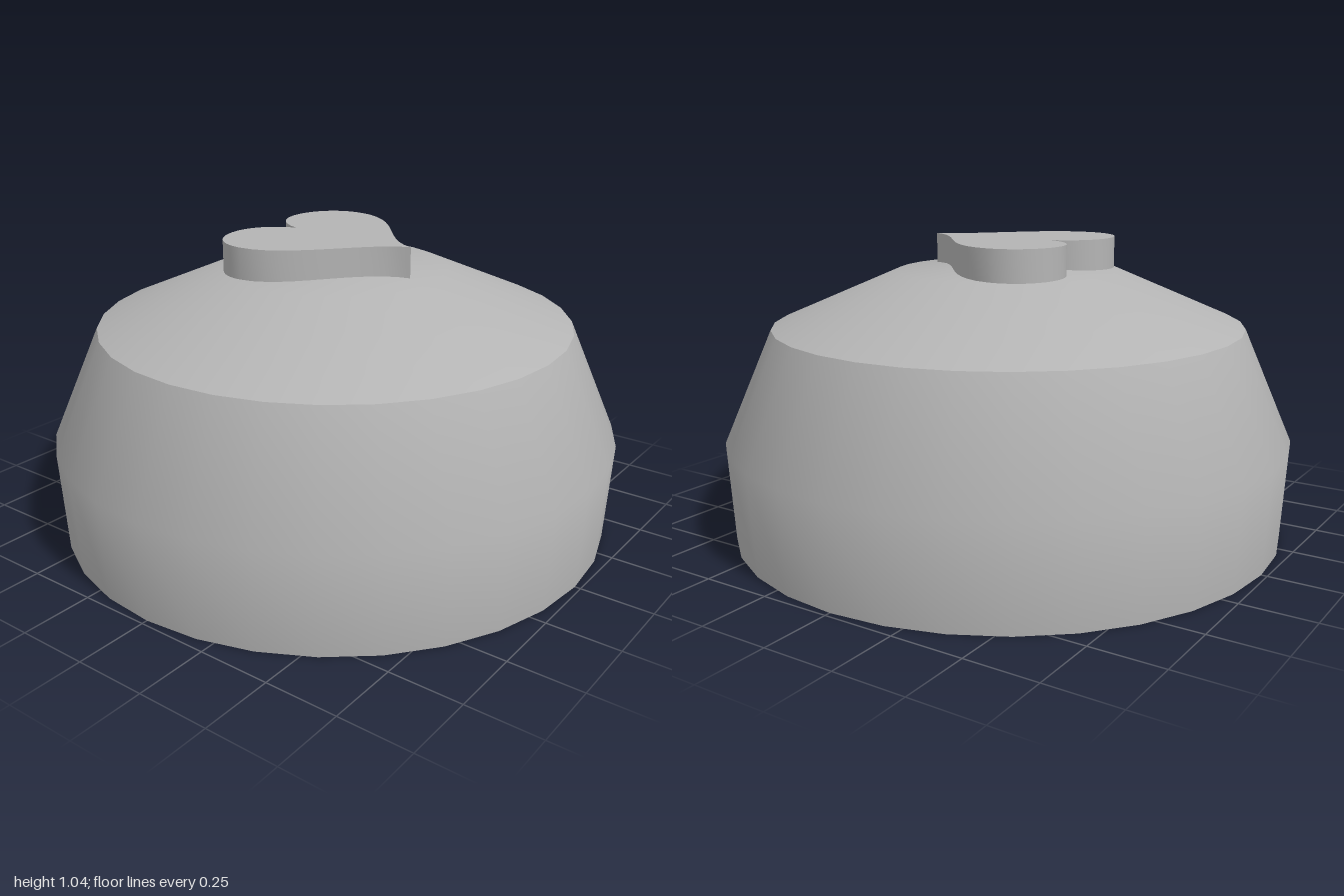
import * as THREE from 'three';
import { toCreasedNormals } from 'three/addons/utils/BufferGeometryUtils.js';

const SIDES = 32;

export function createModel() {
  const group = new THREE.Group();
  const grey = new THREE.MeshStandardMaterial({ color: 0xb4b4b4 });
  grey.name = 'grey';

  const add = (name, geometry) => {
    const mesh = new THREE.Mesh(geometry, grey);
    mesh.name = name;
    group.add(mesh);
    return mesh;
  };
  const lathe = (points) =>
    new THREE.LatheGeometry(points.map(([r, y]) => new THREE.Vector2(r, y)), SIDES);

  // Body: separate lathes keep the rim and base edges sharp
  add('base', lathe([[0, 0], [0.98, 0]]));
  add('wall', lathe([[0.98, 0], [1, 0.35], [0.83, 0.74]]));
  add('domedTop', lathe([[0.83, 0.74], [0.39, 0.93], [0, 0.95]]));

  // Heart knob: outline in x and -z, extruded upwards
  const heart = new THREE.Shape();
  heart.moveTo(0, -0.31);
  heart.bezierCurveTo(0.04, -0.16, 0.34, -0.06, 0.34, 0.14);
  heart.bezierCurveTo(0.34, 0.24, 0.26, 0.308, 0.165, 0.308);
  heart.bezierCurveTo(0.085, 0.308, 0.02, 0.25, 0, 0.17);
  heart.bezierCurveTo(-0.02, 0.25, -0.085, 0.308, -0.165, 0.308);
  heart.bezierCurveTo(-0.26, 0.308, -0.34, 0.24, -0.34, 0.14);
  heart.bezierCurveTo(-0.34, -0.06, -0.04, -0.16, 0, -0.31);
  const knob = new THREE.ExtrudeGeometry(heart, { depth: 0.11, bevelEnabled: false, curveSegments: 12 });
  knob.rotateX(-Math.PI / 2);
  knob.translate(0, 0.93, 0);
  add('heartKnob', toCreasedNormals(knob, 0.6));

  return group;
}
